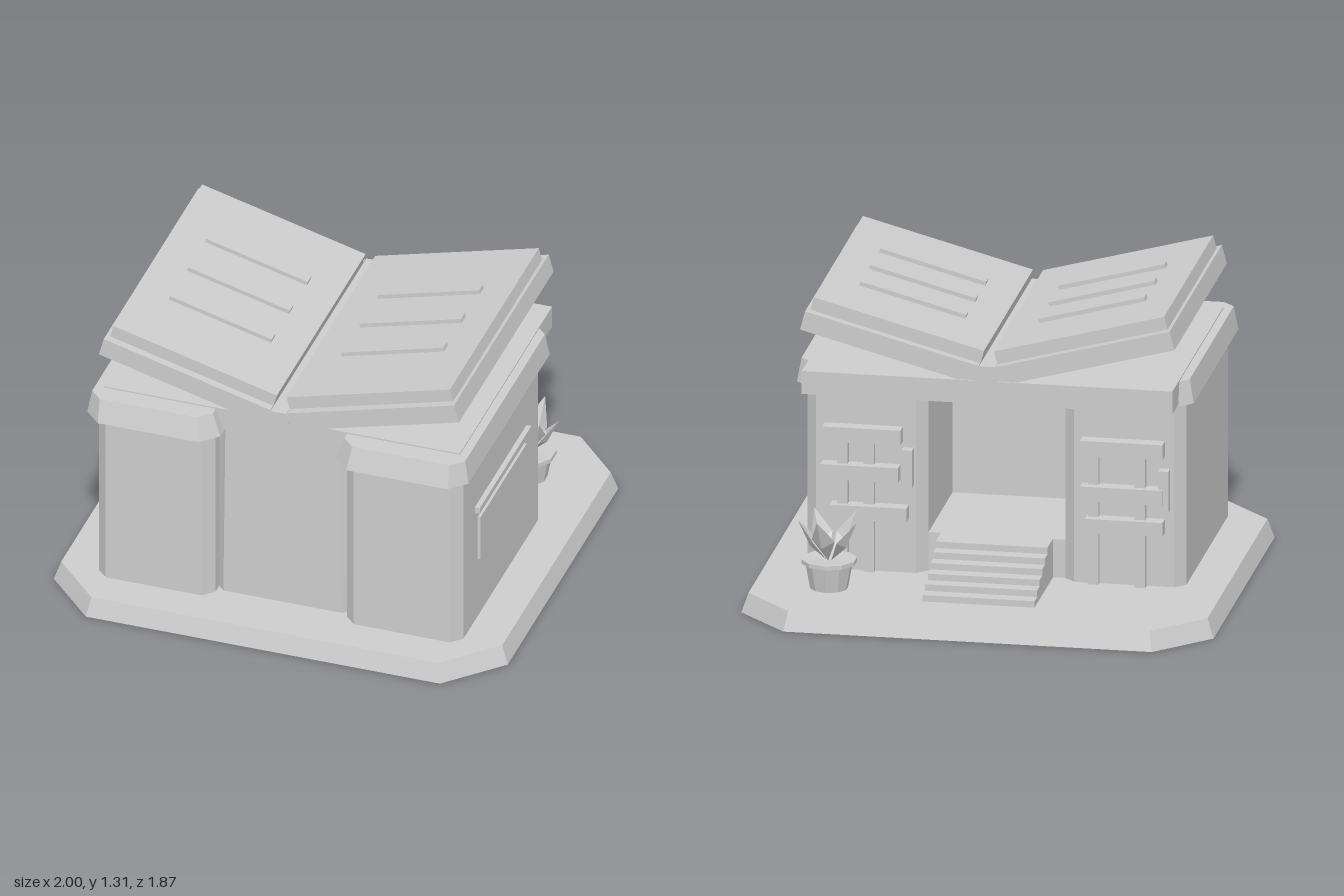
import * as THREE from 'three';

const stone = new THREE.MeshStandardMaterial({ color: 0xcccccc, side: THREE.DoubleSide });
stone.name = 'plain grey';

// Chamfered rectangle in plan, counter-clockwise seen from above
function octagon(x0, x1, z0, z1, cx, cz = cx) {
  return [
    [x0 + cx, z1], [x1 - cx, z1], [x1, z1 - cz], [x1, z0 + cz],
    [x1 - cx, z0], [x0 + cx, z0], [x0, z0 + cz], [x0, z1 - cz],
  ];
}

// Flat-faced shell between two convex plans with equal point counts
function loft(low, high, y0, y1, { top = false, bottom = false } = {}) {
  const pos = [];
  const n = low.length;
  const put = (plan, i, y) => pos.push(plan[i][0], y, plan[i][1]);
  for (let i = 0; i < n; i++) {
    const j = (i + 1) % n;
    put(low, i, y0); put(low, j, y0); put(high, j, y1);
    put(low, i, y0); put(high, j, y1); put(high, i, y1);
  }
  for (let i = 1; i < n - 1; i++) {
    if (top) { put(high, 0, y1); put(high, i, y1); put(high, i + 1, y1); }
    if (bottom) { put(low, 0, y0); put(low, i + 1, y0); put(low, i, y0); }
  }
  const g = new THREE.BufferGeometry();
  g.setAttribute('position', new THREE.Float32BufferAttribute(pos, 3));
  g.computeVertexNormals();
  return g;
}

// Outline in x and y pulled along z
function extrude(points, z0, z1) {
  const shape = new THREE.Shape(points.map(p => new THREE.Vector2(...p)));
  return new THREE.ExtrudeGeometry(shape, { depth: z1 - z0, bevelEnabled: false }).translate(0, 0, z0);
}

function add(parent, name, geometry) {
  const m = new THREE.Mesh(geometry, stone);
  m.name = name;
  parent.add(m);
  return m;
}

// Box given by its limits
function box(parent, name, x0, x1, y0, y1, z0, z1) {
  const m = add(parent, name, new THREE.BoxGeometry(Math.abs(x1 - x0), y1 - y0, z1 - z0));
  m.position.set((x0 + x1) / 2, (y0 + y1) / 2, (z0 + z1) / 2);
}

// One half of the open book, its inner corner cut to rest on the roof; side is +1 or -1
function bookHalf(side) {
  const half = new THREE.Group();
  half.name = side > 0 ? 'leftBookHalf' : 'rightBookHalf';
  const outline = [[0, 0], [0.694, 0], [0.694, 0.083], [-0.066, 0.083], [-0.082, 0.022]];
  add(half, 'cover', extrude(outline.map(([x, y]) => [x * side, y]), -0.48, 0.73));
  box(half, 'pages', -0.068 * side, 0.678 * side, 0.083, 0.14, -0.44, 0.695);
  for (const z of [-0.108, 0.122, 0.353]) {
    box(half, 'textLine', 0.073 * side, 0.538 * side, 0.14, 0.158, z - 0.025, z + 0.025);
  }
  half.position.set(0.123 * side, 0.998, 0);
  half.rotation.z = side * Math.PI / 12;
  return half;
}

// Folded pointed leaf leaning outward along +x
function leafGeometry(reach, height, width) {
  const base = [0.01, 0, 0], tip = [reach, height, 0];
  const keel = [reach * 0.62, height * 0.36, 0];
  const a = [reach * 0.48, height * 0.52, width], b = [reach * 0.48, height * 0.52, -width];
  const g = new THREE.BufferGeometry();
  const tris = [base, a, keel, a, tip, keel, base, keel, b, keel, tip, b];
  g.setAttribute('position', new THREE.Float32BufferAttribute(tris.flat(), 3));
  g.computeVertexNormals();
  return g;
}

function pottedPlant() {
  const plant = new THREE.Group();
  plant.name = 'pottedPlant';
  const profile = [[0.08, 0], [0.1, 0.11], [0.117, 0.11], [0.117, 0.128], [0.1, 0.128], [0, 0.12]];
  const pot = new THREE.LatheGeometry(profile.map(p => new THREE.Vector2(...p)), 10).toNonIndexed();
  pot.computeVertexNormals();
  add(plant, 'pot', pot);
  // Leaf direction (degrees), reach and height
  const leaves = [[5, 0.13, 0.17], [78, 0.135, 0.2], [162, 0.13, 0.18], [218, 0.13, 0.2], [312, 0.12, 0.2]];
  for (const [deg, reach, height] of leaves) {
    const leaf = add(plant, 'leaf', leafGeometry(reach, height, 0.052));
    leaf.position.y = 0.12;
    leaf.rotation.y = THREE.MathUtils.degToRad(deg);
  }
  plant.position.set(0.655, 0.083, -0.56);
  return plant;
}

export function createModel() {
  const model = new THREE.Group();
  model.name = 'bookHouse';

  // Ground plinth with sloping edge, open underneath
  add(model, 'plinth', loft(
    octagon(-1, 1, -0.935, 0.935, 0.22, 0.228),
    octagon(-0.972, 0.972, -0.908, 0.908, 0.207, 0.215), 0, 0.083, { top: true }));

  // Side wings with flared cornices
  for (const s of [-1, 1]) {
    const span = (a, b) => (s > 0 ? [a, b] : [-b, -a]);
    const wall = octagon(...span(0.29, 0.803), -0.3, 0.745, 0.045);
    add(model, 'wing', loft(wall, wall, 0.083, 0.9));
    add(model, 'cornice', loft(
      octagon(...span(0.255, 0.84), -0.365, 0.812, 0.07),
      octagon(...span(0.29, 0.822), -0.335, 0.782, 0.05), 0.89, 0.992, { top: true, bottom: true }));
  }

  // Recessed centre wall between the wings, closing the rear porch
  const centre = w => [[-w, 0.68], [w, 0.68], [0.31, 0.63], [0.31, 0.3], [-0.31, 0.3], [-0.31, 0.63]];
  add(model, 'centreWall', loft(centre(0.262), centre(0.252), 0.083, 0.99));

  // Roof slab, hollow underneath
  const roof = [[-0.785, 0.695], [0.785, 0.695], [0.785, -0.485], [-0.785, -0.485]];
  add(model, 'roofSlab', loft(roof, roof, 0.898, 0.998, { top: true }));
  box(model, 'porchFloor', -0.3, 0.3, 0.083, 0.25, -0.255, 0.31);

  // Rear steps, the last one running up to the porch floor
  for (let i = 0; i < 6; i++) {
    const z = -0.68 + i * 0.06;
    box(model, 'step', -0.237, 0.237, 0.083, 0.111 + i * 0.028, z, i < 5 ? z + 0.06 : -0.255);
  }

  // Open book and its faceted spine
  model.add(bookHalf(1), bookHalf(-1));
  const spine = [[-0.038, 0.998], [0.038, 0.998], [0.052, 1.03], [0.034, 1.062], [-0.034, 1.062], [-0.052, 1.03]];
  add(model, 'spine', extrude(spine, -0.487, 0.738));

  // Side notice panel with ledge
  box(model, 'sidePanel', 0.79, 0.815, 0.37, 0.577, -0.075, 0.52);
  box(model, 'panelLedge', 0.79, 0.825, 0.62, 0.648, -0.105, 0.555);

  // Stacked planks on the rear of each wing: x limits, y limits, rear z
  const planks = [
    [0.39, 0.72, 0.655, 0.72, -0.36], [0.4, 0.73, 0.49, 0.555, -0.36], [0.365, 0.69, 0.32, 0.38, -0.36],
    [-0.72, -0.37, 0.655, 0.72, -0.36], [-0.72, -0.37, 0.455, 0.52, -0.36], [-0.72, -0.39, 0.32, 0.38, -0.36],
  ];
  for (const [x0, x1, y0, y1, z] of planks) box(model, 'plank', x0, x1, y0, y1, z, -0.29);
  const posts = [
    [0.64, 0.083, 0.68, -0.335], [0.53, 0.083, 0.68, -0.325], [0.365, 0.47, 0.63, -0.345],
    [-0.42, 0.083, 0.68, -0.325], [-0.62, 0.083, 0.68, -0.335], [-0.72, 0.42, 0.6, -0.345],
  ];
  for (const [x, y0, y1, z] of posts) box(model, 'post', x - 0.022, x + 0.022, y0, y1, z, -0.29);

  model.add(pottedPlant());
  return model;
}
